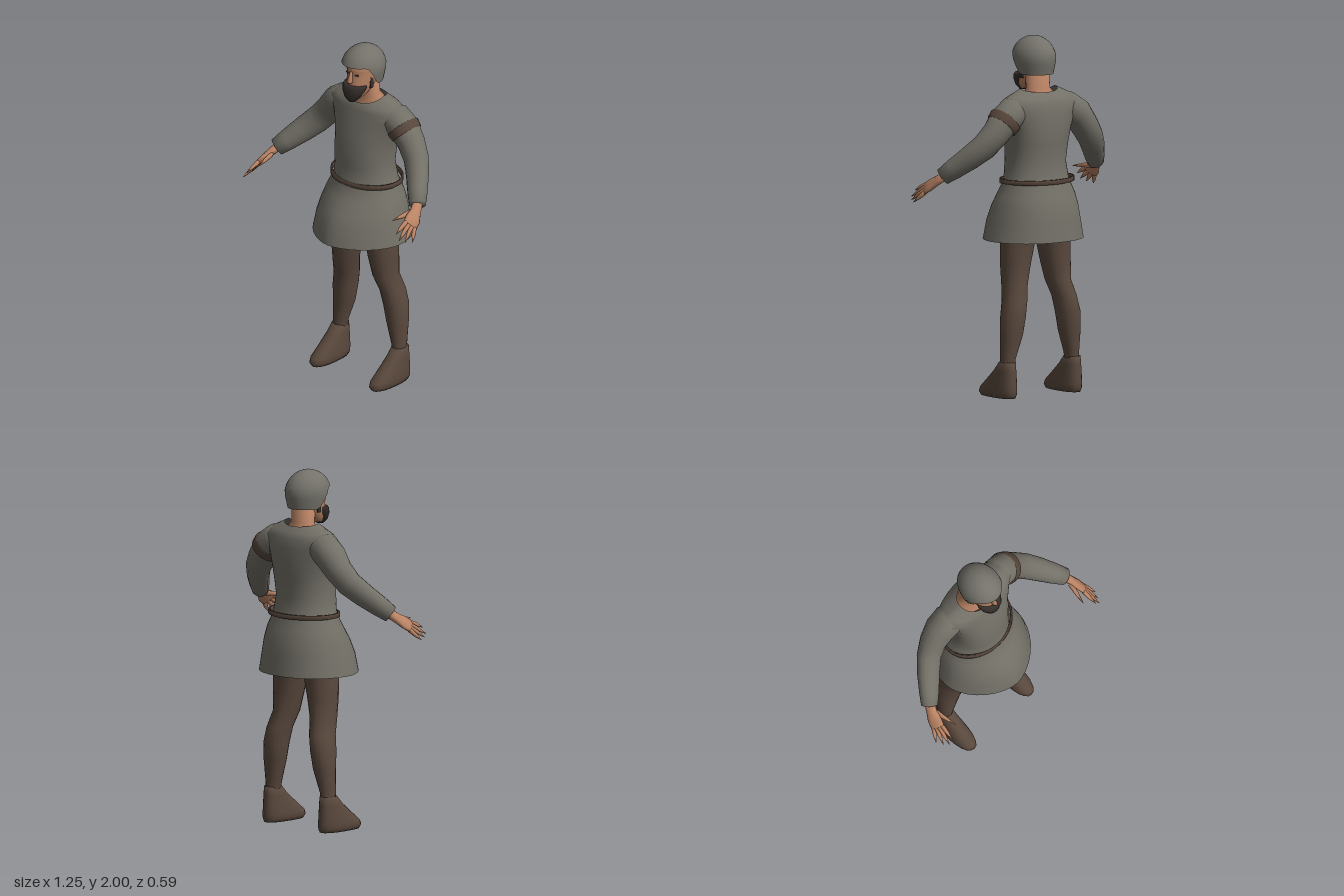
import * as THREE from 'three';

const mat = (name, color, side = THREE.FrontSide) => {
  const m = new THREE.MeshStandardMaterial({ color, side });
  m.name = name;
  return m;
};

// Skin a list of closed rows of points, wrapped smoothly, with optional end caps.
function skin(rows, capStart, capEnd) {
  const n = rows[0].length, pos = [], idx = [];
  rows.forEach(r => r.forEach(p => pos.push(p.x, p.y, p.z)));
  for (let j = 0; j < rows.length - 1; j++) {
    for (let i = 0; i < n; i++) {
      const a = j * n + i, b = j * n + (i + 1) % n;
      idx.push(a, b, b + n, a, b + n, a + n);
    }
  }
  const cap = (row, j, flip) => {
    const c = new THREE.Vector3();
    row.forEach(p => c.addScaledVector(p, 1 / n));
    const k = pos.length / 3;
    pos.push(c.x, c.y, c.z);
    for (let i = 0; i < n; i++) {
      const a = j * n + i, b = j * n + (i + 1) % n;
      flip ? idx.push(b, a, k) : idx.push(a, b, k);
    }
  };
  if (capStart) cap(rows[0], 0, true);
  if (capEnd) cap(rows[rows.length - 1], rows.length - 1, false);
  const g = new THREE.BufferGeometry();
  g.setAttribute('position', new THREE.Float32BufferAttribute(pos, 3));
  g.setIndex(idx);
  g.computeVertexNormals();
  return g;
}

// Level ovals, bottom to top: [y, halfWidth, zFront, zBack, centreX, roundnessFront, roundnessBack, dip]
function ovals(list, { sides = 24, capStart = false, capEnd = false } = {}) {
  const pw = (v, e) => Math.sign(v) * Math.abs(v) ** e;
  return skin(list.map(([y, rx, zf, zb, cx = 0, pf = 2, pb = 2, dip = 0]) =>
    Array.from({ length: sides }, (_, i) => {
      const a = i / sides * Math.PI * 2, c = Math.cos(a), e = 2 / (c > 0 ? pf : pb);
      const drop = dip * (c > 0 ? c : -c * 0.45);
      return new THREE.Vector3(cx + rx * pw(Math.sin(a), e), y - drop,
        (zf + zb) / 2 + (zf - zb) / 2 * pw(c, e));
    })), capStart, capEnd);
}

// Tube along stations [x, y, z, radiusAlongHint, radiusAcross], mirrored by s.
function limb(list, s, hint, sides = 16, caps = true) {
  const P = list.map(p => new THREE.Vector3(p[0] * s, p[1], p[2]));
  const h = new THREE.Vector3(hint[0] * s, hint[1], hint[2]);
  const rows = P.map((p, j) => {
    const t = P[Math.min(j + 1, P.length - 1)].clone().sub(P[Math.max(j - 1, 0)]).normalize();
    const u = h.clone().addScaledVector(t, -h.dot(t)).normalize();
    const v = t.clone().cross(u);
    const [, , , ra, rb = ra] = list[j];
    return Array.from({ length: sides }, (_, i) => {
      const a = i / sides * Math.PI * 2;
      return p.clone().addScaledVector(u, ra * Math.cos(a)).addScaledVector(v, rb * Math.sin(a));
    });
  });
  return skin(rows, caps, caps);
}

export function createModel() {
  const root = new THREE.Group();
  root.name = 'figure';
  const cloth = mat('grey cloth', 0x737067, THREE.DoubleSide);
  const metal = mat('grey helmet', 0x74726a, THREE.DoubleSide);
  const skinTone = mat('skin', 0xbb8465);
  const hose = mat('brown hose', 0x5a493e);
  const leather = mat('brown leather', 0x58473c);
  const hair = mat('dark hair', 0x352f2c);
  const add = (name, geo, m) => {
    const mesh = new THREE.Mesh(geo, m);
    mesh.name = name;
    root.add(mesh);
    return mesh;
  };

  // Tunic: open skirt hem, waist, chest, shoulders, dipped collar
  add('tunic', ovals([
    [0.87, 0.29, 0.24, -0.30, 0, 1.7, 2.2],
    [0.97, 0.27, 0.222, -0.29, 0, 1.7, 2.2],
    [1.05, 0.25, 0.18, -0.28, 0, 1.8, 2.2],
    [1.12, 0.228, 0.13, -0.26, 0, 1.9, 2.2],
    [1.20, 0.19, 0.085, -0.23, 0, 2, 2.2],
    [1.30, 0.175, 0.08, -0.215, 0, 2.2, 2.2],
    [1.40, 0.182, 0.075, -0.228, 0, 2.2, 2.2],
    [1.50, 0.20, 0.055, -0.235, 0, 2.2, 2.2],
    [1.58, 0.24, 0.035, -0.23, 0, 2, 2],
    [1.635, 0.262, 0.022, -0.222, 0, 2, 2, 0.005],
    [1.672, 0.215, 0.015, -0.205, 0, 2, 2, 0.02],
    [1.715, 0.122, 0.005, -0.175, 0, 2, 2, 0.045],
  ], { sides: 36 }), cloth);

  // Belt: flat hoop standing off the waist at the sides
  add('belt', ovals([
    [1.19, 0.212, 0.078, -0.245], [1.19, 0.224, 0.092, -0.258],
    [1.215, 0.224, 0.09, -0.258], [1.215, 0.212, 0.076, -0.245],
    [1.19, 0.212, 0.078, -0.245],
  ].map(r => [...r, 0, 2, 2, 0.004]), { sides: 32 }), leather);

  // Neck and head
  add('neck', ovals([
    [1.62, 0.12, -0.02, -0.19], [1.67, 0.105, -0.035, -0.175],
    [1.71, 0.072, -0.035, -0.15], [1.83, 0.068, -0.02, -0.148],
  ], { capEnd: true }), skinTone);
  add('head', ovals([
    [1.70, 0.028, 0.05, -0.01], [1.73, 0.056, 0.056, -0.07],
    [1.78, 0.072, 0.056, -0.13], [1.83, 0.08, 0.05, -0.165],
    [1.865, 0.083, 0.046, -0.17], [1.885, 0.083, 0.056, -0.17],
    [1.94, 0.075, 0.045, -0.15],
  ], { capStart: true, capEnd: true }), skinTone);
  add('nose', ovals([
    [1.803, 0.012, 0.062, 0.035], [1.812, 0.016, 0.078, 0.035],
    [1.84, 0.010, 0.064, 0.03], [1.872, 0.008, 0.053, 0.03],
  ], { sides: 8, capStart: true, capEnd: true }), skinTone);

  // Beard wrapping the jaw
  add('beard', ovals([
    [1.69, 0.022, 0.06, 0.015], [1.715, 0.047, 0.076, 0.0],
    [1.75, 0.068, 0.08, -0.03], [1.778, 0.075, 0.074, -0.045],
    [1.79, 0.072, 0.062, -0.045],
  ], { sides: 18, capStart: true, capEnd: true }), hair);

  // Helmet: dome whose rim rises over the face
  const N = 36, rows = [];
  for (let j = 0; j <= 10; j++) {
    rows.push(Array.from({ length: N }, (_, i) => {
      const a = i / N * Math.PI * 2, off = Math.acos(Math.cos(a));
      const rim = 1.908 - 0.118 * THREE.MathUtils.smoothstep(off, 0.95, 1.7);
      const y = rim + (1.999 - rim) * Math.sin(j / 10 * Math.PI / 2);
      const k = y > 1.87 ? Math.sqrt(Math.max(0, 1 - ((y - 1.87) / 0.13) ** 2))
        : 1 - 1.6 * (1.87 - y);
      return new THREE.Vector3(0.116 * k * Math.sin(a), y, -0.055 + 0.139 * k * Math.cos(a));
    }));
  }
  add('helmet', skin(rows, false, true), metal);

  for (const s of [1, -1]) {
    const side = s > 0 ? 'left' : 'right';

    // Face details
    const eye = add(side + 'Eye', new THREE.BoxGeometry(0.022, 0.008, 0.008), hair);
    eye.position.set(0.034 * s, 1.853, 0.038);
    eye.rotation.y = 0.35 * s;
    const burn = add(side + 'Sideburn', new THREE.BoxGeometry(0.008, 0.07, 0.022), hair);
    burn.position.set(0.074 * s, 1.80, -0.04);

    // Sleeve
    add(side + 'Sleeve', limb([
      [0.13, 1.595, -0.11, 0.07, 0.07], [0.19, 1.59, -0.11, 0.088, 0.092],
      [0.25, 1.55, -0.115, 0.087, 0.088], [0.31, 1.478, -0.11, 0.079, 0.076],
      [0.37, 1.408, -0.085, 0.076, 0.066], [0.43, 1.345, -0.03, 0.07, 0.06],
      [0.49, 1.282, 0.035, 0.06, 0.054], [0.53, 1.24, 0.078, 0.05, 0.046],
    ], s, [0.77, 0.64, 0]), cloth);

    // Hand: flat palm, four pointed fingers and a thumb
    const across = [0.05, -0.05, -0.08];
    add(side + 'Hand', limb([
      [0.52, 1.25, 0.065, 0.03, 0.026], [0.545, 1.215, 0.11, 0.033, 0.022],
      [0.562, 1.188, 0.15, 0.046, 0.018], [0.573, 1.165, 0.185, 0.045, 0.014],
    ], s, across, 10), skinTone);
    const fingers = [
      [[0.555, 1.185, 0.20], [0.563, 1.145, 0.287]],
      [[0.568, 1.17, 0.192], [0.586, 1.112, 0.29]],
      [[0.579, 1.158, 0.18], [0.606, 1.098, 0.262]],
      [[0.588, 1.148, 0.165], [0.624, 1.09, 0.222]],
      [[0.528, 1.21, 0.125], [0.502, 1.195, 0.252]],
    ];
    fingers.forEach(([a, b], i) => {
      const mid = a.map((v, k) => (v + b[k]) / 2);
      add(side + (i < 4 ? 'Finger' : 'Thumb'), limb([
        [...a, i < 4 ? 0.014 : 0.02, 0.013], [...mid, 0.012, 0.011], [...b, 0.002, 0.002],
      ], s, across, 6), skinTone);
    });

    // Leg in hose
    add(side + 'Leg', ovals([
      [0.16, 0.036, -0.065, -0.155, 0.222 * s], [0.22, 0.041, -0.06, -0.155, 0.22 * s],
      [0.35, 0.064, -0.052, -0.178, 0.2 * s], [0.45, 0.07, -0.04, -0.19, 0.19 * s],
      [0.54, 0.066, -0.025, -0.185, 0.172 * s], [0.63, 0.07, 0.005, -0.157, 0.15 * s],
      [0.74, 0.085, 0.02, -0.158, 0.138 * s], [0.87, 0.1, 0.03, -0.167, 0.122 * s],
      [1.0, 0.106, 0.03, -0.185, 0.105 * s], [1.12, 0.09, 0.02, -0.18, 0.09 * s],
    ], { sides: 18, capEnd: true }), hose);

    // Shoe with sloping instep
    add(side + 'Shoe', ovals([
      [0, 0.05, 0.112, -0.162], [0.02, 0.06, 0.125, -0.17], [0.045, 0.06, 0.115, -0.172],
      [0.09, 0.055, 0.06, -0.17], [0.15, 0.046, -0.012, -0.165], [0.2, 0.04, -0.058, -0.16],
    ].map(r => [...r, 0.225 * s, 2.3, 2.4]), { sides: 20, capStart: true, capEnd: true }), leather);
  }

  // Band round the left upper arm
  add('armBand', limb([
    [0.238, 1.557, -0.115, 0.088, 0.09], [0.24, 1.555, -0.115, 0.093, 0.096],
    [0.27, 1.522, -0.114, 0.091, 0.091], [0.272, 1.52, -0.114, 0.084, 0.084],
  ], 1, [0.77, 0.64, 0], 20, false), leather);

  return root;
}
